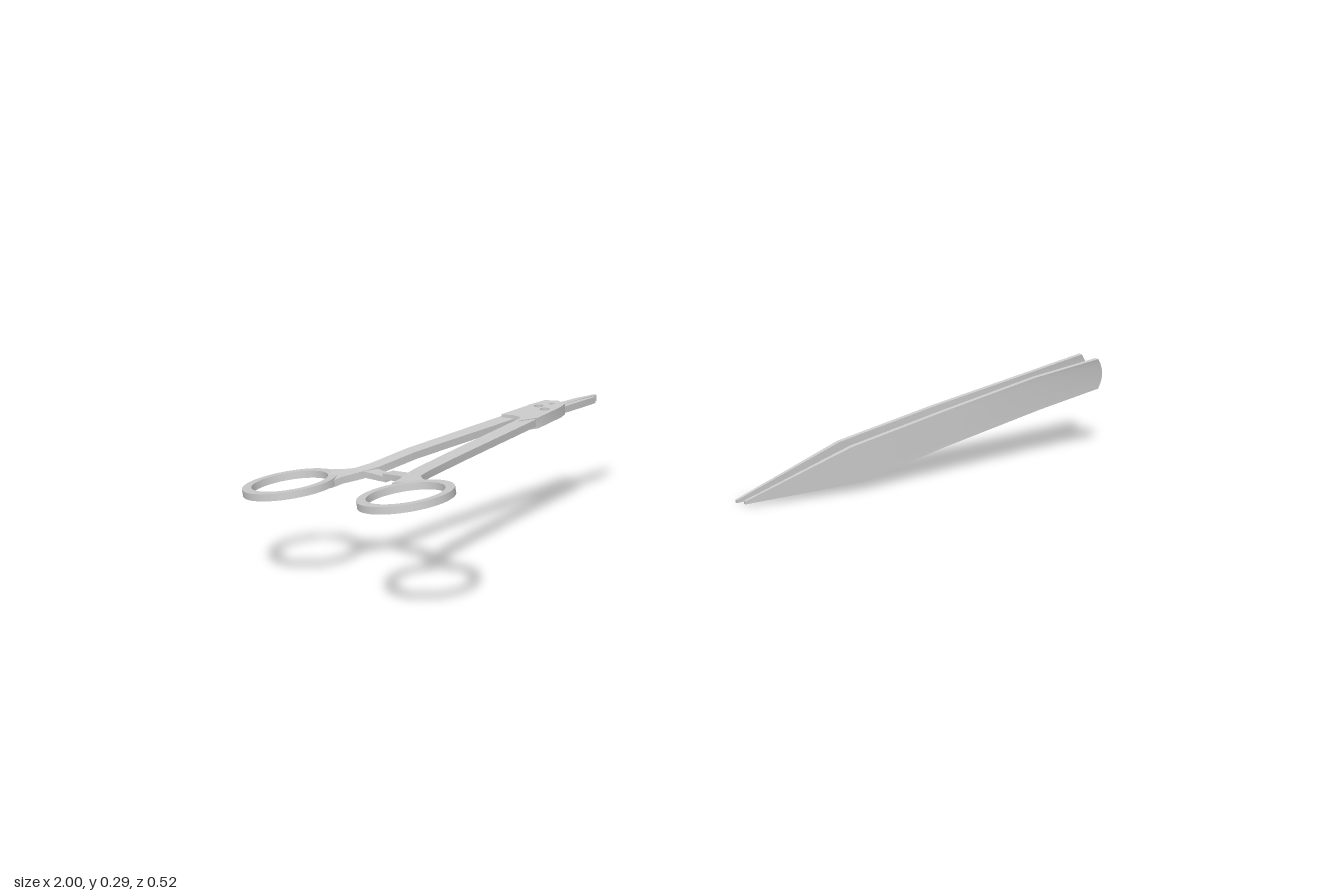
import * as THREE from 'three';
import { toCreasedNormals } from 'three/addons/utils/BufferGeometryUtils.js';

const metal = new THREE.MeshStandardMaterial({ color: 0xcccccc });

function add(parent, name, geometry) {
  const mesh = new THREE.Mesh(geometry, metal);
  mesh.name = name;
  parent.add(mesh);
  return mesh;
}

// Closed solid through a row of equally long cross-section loops
function loft(rings) {
  const n = rings[0].length, index = [];
  const last = (rings.length - 1) * n;
  for (let i = 0; i < rings.length - 1; i++) {
    for (let j = 0; j < n; j++) {
      const a = i * n + j, b = i * n + (j + 1) % n;
      index.push(a, b, b + n, a, b + n, a + n);
    }
  }
  for (let j = 1; j < n - 1; j++) {
    index.push(0, j + 1, j, last, last + j, last + j + 1);
  }
  const geometry = new THREE.BufferGeometry();
  geometry.setAttribute('position', new THREE.Float32BufferAttribute(rings.flat(2), 3));
  geometry.setIndex(index);
  return toCreasedNormals(geometry, 0.45);
}

// Rectangular bar along stations [x, y, z, width, height]
function bar(stations) {
  return loft(stations.map(([x, y, z, w, h], i) => {
    const p = stations[Math.max(i - 1, 0)], q = stations[Math.min(i + 1, stations.length - 1)];
    const dx = q[0] - p[0], dz = q[2] - p[2], l = Math.hypot(dx, dz);
    const sx = -dz / l * w / 2, sz = dx / l * w / 2;
    return [[-1, -1], [1, -1], [1, 1], [-1, 1]].map(([u, s]) => [x + s * sx, y + u * h / 2, z + s * sz]);
  }));
}

// Plate cut from an outline in x and z, lying flat and centred on its own height
function plate(shape, height) {
  const geometry = new THREE.ExtrudeGeometry(shape, { depth: height, bevelEnabled: false, curveSegments: 20 });
  geometry.translate(0, 0, -height / 2).rotateX(-Math.PI / 2);
  return toCreasedNormals(geometry, 0.6);
}

function fingerRing(parent, name, x, y, z) {
  const shape = new THREE.Shape().absarc(0, 0, 0.097, 0, Math.PI * 2);
  shape.holes.push(new THREE.Path().absarc(0, 0, 0.078, 0, Math.PI * 2, true));
  const ring = add(parent, name, plate(shape, 0.015));
  ring.position.set(x, y, z);
  ring.rotation.set(-0.16, 0, 0.05);
}

function clamp() {
  const group = new THREE.Group();
  group.name = 'lockingClamp';
  fingerRing(group, 'rearFingerRing', -0.904, 0.215, -0.164);
  fingerRing(group, 'frontFingerRing', -0.8, 0.271, 0.16);

  // Arms flare where they meet the finger rings
  add(group, 'rearArm', bar([
    [-0.83, 0.225, -0.127, 0.075, 0.015], [-0.808, 0.229, -0.116, 0.045, 0.015],
    [-0.785, 0.233, -0.104, 0.03, 0.016], [-0.745, 0.238, -0.1, 0.03, 0.016],
    [-0.65, 0.245, -0.124, 0.03, 0.016], [-0.37, 0.249, -0.196, 0.034, 0.016]]));
  add(group, 'frontArm', bar([
    [-0.752, 0.26, 0.083, 0.075, 0.015], [-0.742, 0.259, 0.063, 0.045, 0.015],
    [-0.728, 0.257, 0.042, 0.034, 0.016], [-0.695, 0.255, 0.018, 0.032, 0.016],
    [-0.6, 0.254, -0.032, 0.032, 0.016], [-0.36, 0.254, -0.148, 0.034, 0.016]]));

  // Overlapping ratchet catches between the arms
  add(group, 'rearRatchet', bar([
    [-0.762, 0.235, -0.098, 0.034, 0.014], [-0.755, 0.236, -0.07, 0.025, 0.013],
    [-0.744, 0.239, -0.03, 0.025, 0.011]]));
  add(group, 'frontRatchet', bar([
    [-0.728, 0.256, 0.034, 0.036, 0.014], [-0.735, 0.252, 0.01, 0.026, 0.013],
    [-0.745, 0.244, -0.038, 0.026, 0.012]]));

  // Box joint with a notch between the arms and drilled pivot holes
  const outline = [[-0.4, -0.198], [-0.33, -0.218], [-0.322, -0.222], [-0.278, -0.231], [-0.254, -0.215],
    [-0.252, -0.186], [-0.27, -0.172], [-0.345, -0.136], [-0.39, -0.141], [-0.376, -0.16], [-0.382, -0.178]];
  const joint = new THREE.Shape(outline.map(([x, z]) => new THREE.Vector2(x, -z)).reverse());
  for (const [x, z, r] of [[-0.306, -0.204, 0.01], [-0.306, -0.178, 0.01], [-0.275, -0.202, 0.006]]) {
    joint.holes.push(new THREE.Path().absarc(x, -z, r, 0, Math.PI * 2, true));
  }
  add(group, 'boxJoint', plate(joint, 0.024)).position.y = 0.252;

  // Pair of tapered jaws
  add(group, 'rearJaw', bar([
    [-0.258, 0.25, -0.209, 0.014, 0.015], [-0.2, 0.248, -0.224, 0.012, 0.015], [-0.147, 0.245, -0.237, 0.007, 0.014]]));
  add(group, 'frontJaw', bar([
    [-0.258, 0.25, -0.193, 0.014, 0.015], [-0.2, 0.248, -0.21, 0.011, 0.015], [-0.156, 0.245, -0.225, 0.006, 0.014]]));
  return group;
}

// Stations [bottom x, bottom y, bottom z, top x, top y, top z, thickness, end bulge]
function blade(stations) {
  const steps = [0, 0.2, 0.4, 0.6, 0.8, 1];
  return loft(stations.map(([x0, y0, z0, x1, y1, z1, t, bulge]) => {
    const side = (s) => steps.map((k) => [
      x0 + (x1 - x0) * k + bulge * 4 * k * (1 - k), y0 + (y1 - y0) * k, z0 + (z1 - z0) * k + s * t / 2]);
    return [...side(-1), ...side(1).reverse()];
  }));
}

function tweezers() {
  const group = new THREE.Group();
  group.name = 'tweezers';
  add(group, 'frontBlade', blade([
    [0.11, 0.009, -0.029, 0.11, 0.016, -0.029, 0.006, 0],
    [0.385, 0.024, 0.024, 0.36, 0.112, 0.021, 0.01, 0],
    [0.6, 0.078, 0.055, 0.6, 0.165, 0.055, 0.01, 0],
    [0.84, 0.132, 0.089, 0.82, 0.213, 0.091, 0.01, 0],
    [0.988, 0.165, 0.118, 0.972, 0.243, 0.131, 0.01, 0.012]]));
  add(group, 'rearBlade', blade([
    [0.11, 0.001, -0.063, 0.11, 0.008, -0.063, 0.006, 0],
    [0.395, 0.019, -0.04, 0.365, 0.106, -0.035, 0.01, 0],
    [0.6, 0.068, 0.001, 0.6, 0.158, 0.001, 0.01, 0],
    [0.84, 0.122, 0.044, 0.82, 0.206, 0.045, 0.01, 0],
    [0.993, 0.156, 0.058, 0.978, 0.236, 0.067, 0.01, 0.012]]));
  return group;
}

export function createModel() {
  const model = new THREE.Group();
  model.name = 'surgicalInstruments';
  model.add(clamp(), tweezers());
  return model;
}
